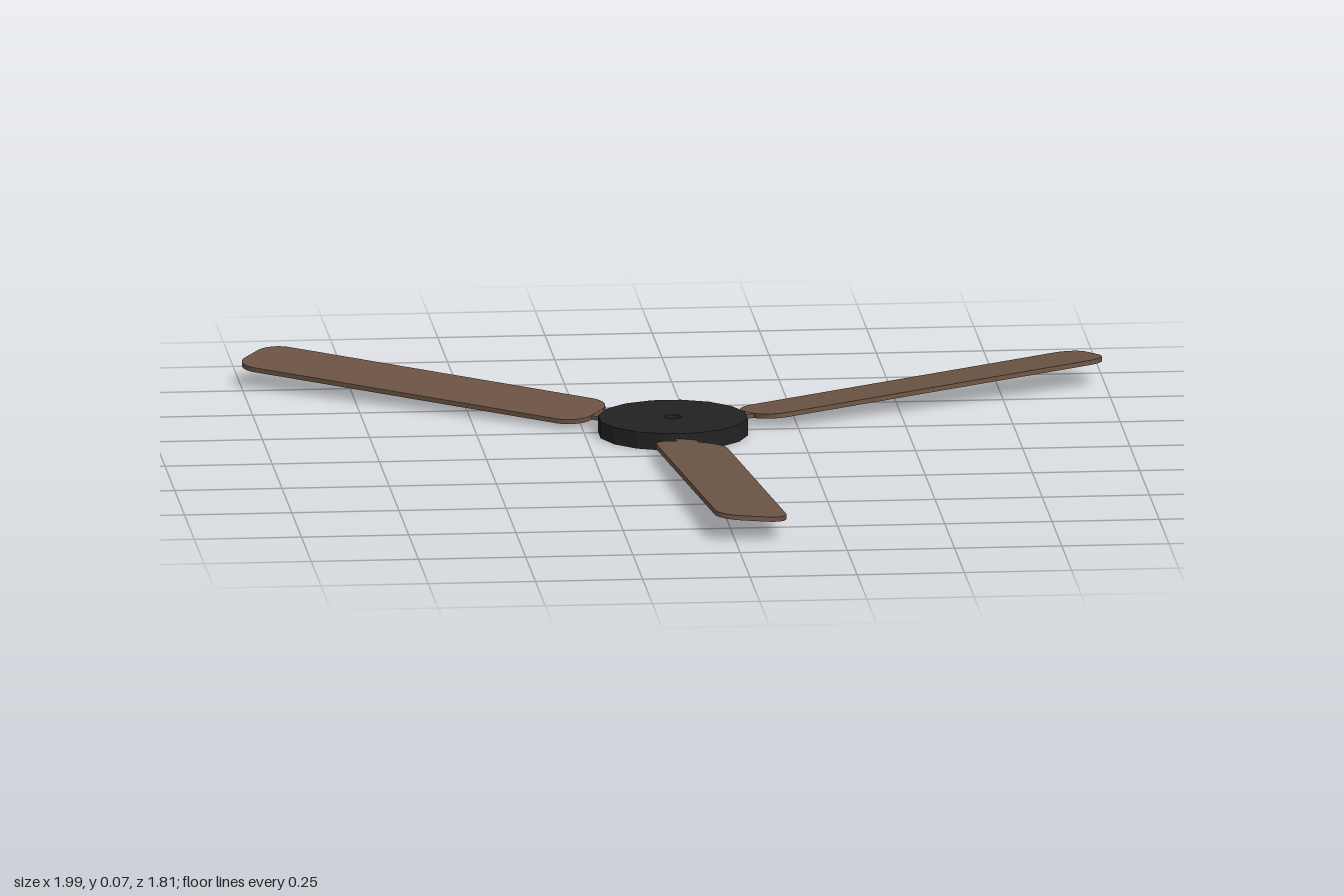
import * as THREE from 'three';

const wood = new THREE.MeshStandardMaterial({ color: 0x6b5343 });
wood.name = 'brown wood';
const metal = new THREE.MeshStandardMaterial({ color: 0x222222 });
metal.name = 'black metal';

const HUB_RADIUS = 0.175, HUB_HEIGHT = 0.04, THICKNESS = 0.011;

// Extrude an outline and lay it flat, shape y becoming z
function flatPlate(shape, depth, curveSegments) {
  const geo = new THREE.ExtrudeGeometry(shape, { depth, bevelEnabled: false, curveSegments });
  return geo.rotateX(Math.PI / 2).translate(0, depth / 2, 0);
}

// Long plank with rounded corners, wider rounding at the root
function bladeShape(x0, x1, w, rRoot, rTip) {
  const s = new THREE.Shape();
  s.moveTo(x0 + rRoot, -w);
  s.lineTo(x1 - rTip, -w);
  s.absarc(x1 - rTip, -w + rTip, rTip, -Math.PI / 2, 0);
  s.absarc(x1 - rTip, w - rTip, rTip, 0, Math.PI / 2);
  s.absarc(x0 + rRoot, w - rRoot, rRoot, Math.PI / 2, Math.PI);
  s.absarc(x0 + rRoot, -w + rRoot, rRoot, Math.PI, Math.PI * 1.5);
  return s;
}

function hubShape(sides) {
  const points = [];
  for (let i = 0; i < sides; i++) {
    const a = ((i + 0.5) / sides) * Math.PI * 2;
    points.push(new THREE.Vector2(Math.cos(a), Math.sin(a)).multiplyScalar(HUB_RADIUS));
  }
  const s = new THREE.Shape(points);
  s.holes.push(new THREE.Path().absarc(0, 0, 0.021, 0, Math.PI * 2, true));
  return s;
}

export function createModel() {
  const model = new THREE.Group();
  model.name = 'ceilingFanBlades';
  model.position.set(-0.045, 0, -0.225);

  // Central disc with a shaft hole
  const hub = new THREE.Mesh(flatPlate(hubShape(16), HUB_HEIGHT, 6), metal);
  hub.name = 'hub';
  hub.position.y = HUB_HEIGHT / 2;
  model.add(hub);

  // Three pitched blades, rising slightly towards their tips
  const bladeGeo = flatPlate(bladeShape(0.203, 1.125, 0.084, 0.06, 0.055), THICKNESS, 6);
  const armGeo = new THREE.BoxGeometry(0.14, THICKNESS, 0.05).translate(0.17, 0, 0);
  [85.5, -24.7, 214.6].forEach((degrees, i) => {
    const arm = new THREE.Group();
    arm.name = 'bladeAssembly' + (i + 1);
    arm.position.y = 0.0147;
    arm.rotation.set(0, -THREE.MathUtils.degToRad(degrees), 0);

    const tilt = new THREE.Group();
    tilt.name = 'bladeTilt';
    tilt.rotation.set(-0.09, 0, 0.0365, 'ZXY');
    const blade = new THREE.Mesh(bladeGeo, wood);
    blade.name = 'blade';
    const bracket = new THREE.Mesh(armGeo, wood);
    bracket.name = 'bladeArm';
    bracket.scale.y = 0.9;
    tilt.add(blade, bracket);
    arm.add(tilt);
    model.add(arm);
  });

  const root = new THREE.Group();
  root.name = 'fan';
  root.add(model);
  return root;
}
